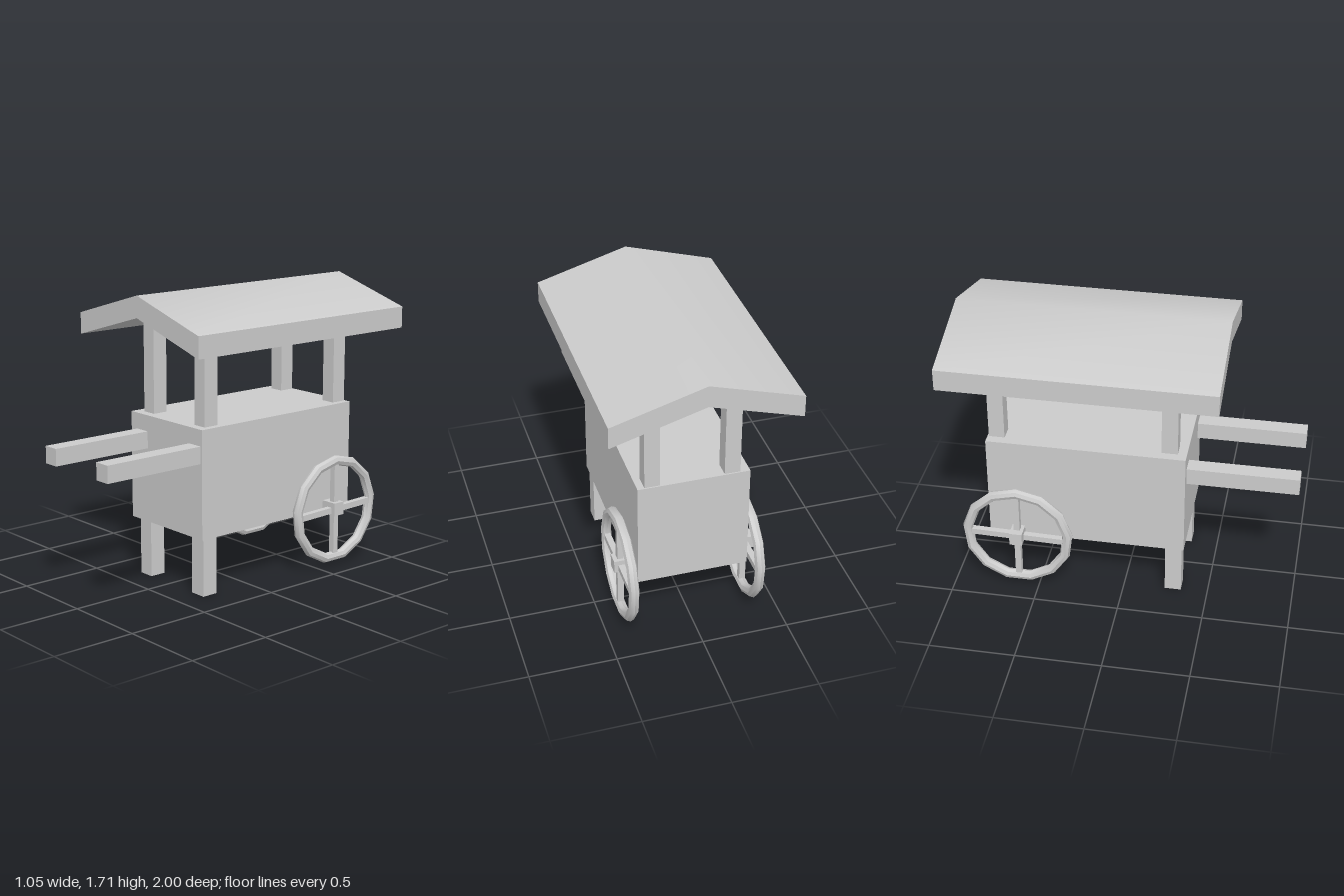
import * as THREE from 'three';
import { toCreasedNormals } from 'three/addons/utils/BufferGeometryUtils.js';

const material = new THREE.MeshStandardMaterial({ color: 0xcccccc });

function add(parent, name, geometry, x = 0, y = 0, z = 0) {
  const mesh = new THREE.Mesh(geometry, material);
  mesh.name = name;
  mesh.position.set(x, y, z);
  parent.add(mesh);
  return mesh;
}

// Box given by its extents on each axis
function block(parent, name, [x0, x1], [y0, y1], [z0, z1]) {
  return add(parent, name, new THREE.BoxGeometry(x1 - x0, y1 - y0, z1 - z0),
    (x0 + x1) / 2, (y0 + y1) / 2, (z0 + z1) / 2);
}

// Shallow gabled slab with a softly shaded ridge
function roofGeometry() {
  const w = 0.527, shape = new THREE.Shape();
  [[-w, 1.425], [0, 1.58], [w, 1.425], [w, 1.55], [0, 1.705], [-w, 1.55]]
    .forEach(([x, y], i) => (i ? shape.lineTo(x, y) : shape.moveTo(x, y)));
  const geometry = new THREE.ExtrudeGeometry(shape, { depth: 1.56, bevelEnabled: false });
  geometry.translate(0, 0, -1);
  return toCreasedNormals(geometry, Math.PI / 5);
}

// Thirteen-sided rim with four spokes
function createWheel() {
  const wheel = new THREE.Group();
  wheel.name = 'wheel';
  const rim = new THREE.TorusGeometry(0.3, 0.03, 8, 13);
  rim.rotateZ(Math.PI / 2);
  rim.rotateY(Math.PI / 2);
  add(wheel, 'rim', toCreasedNormals(rim, Math.PI / 6));
  add(wheel, 'uprightSpoke', new THREE.BoxGeometry(0.036, 0.585, 0.036));
  const cross = add(wheel, 'crossSpoke', new THREE.BoxGeometry(0.036, 0.036, 0.585));
  cross.rotation.x = 0.024;
  return wheel;
}

export function createModel() {
  const cart = new THREE.Group();
  cart.name = 'cart';

  block(cart, 'body', [-0.32, 0.317], [0.34, 0.975], [-0.79, 0.36]);
  add(cart, 'roof', roofGeometry());

  // Roof posts at the four corners
  for (const x of [[-0.265, -0.175], [0.19, 0.277]])
    for (const z of [[0.215, 0.308], [-0.782, -0.69]])
      block(cart, 'roofPost', x, [0.97, 1.54], z);

  // Push handles and front legs
  for (const x of [[-0.267, -0.17], [0.205, 0.304]]) {
    block(cart, 'handle', x, [0.78, 0.88], [0.35, 1]);
    block(cart, 'frontLeg', x, [0, 0.345], [0.245, 0.342]);
  }

  // Axle and wheels
  block(cart, 'axle', [-0.415, 0.417], [0.322, 0.4], [-0.655, -0.58]);
  for (const x of [-0.355, 0.375]) {
    const wheel = createWheel();
    wheel.position.set(x, 0.352, -0.618);
    cart.add(wheel);
  }
  return cart;
}
